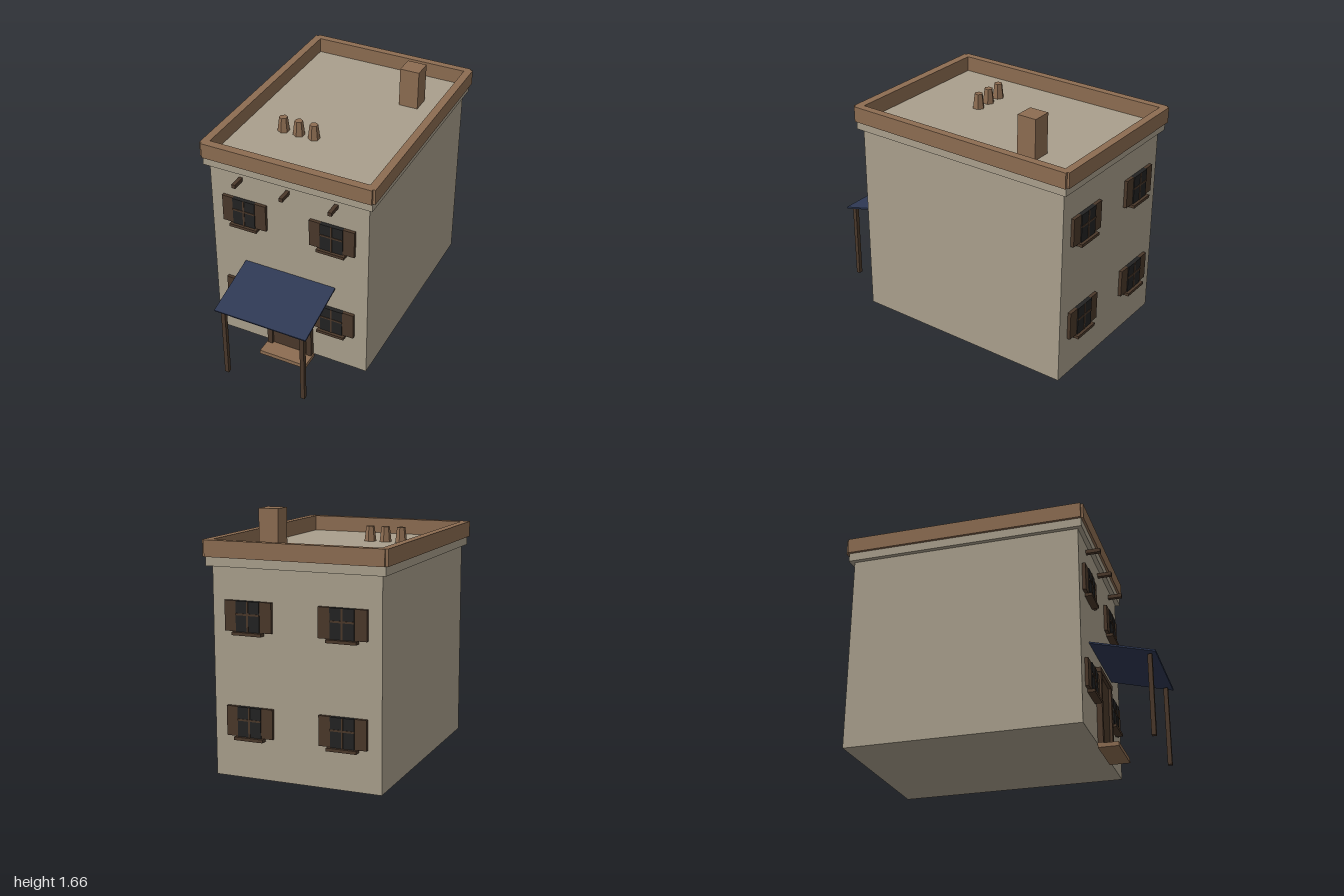
import * as THREE from 'three';

const mat = (name, color) => {
  const m = new THREE.MeshStandardMaterial({ color });
  m.name = name;
  return m;
};

export function createModel() {
  const house = new THREE.Group();
  house.name = 'house';
  const plaster = mat('plaster', 0xa99f8c);
  const clay = mat('clay brown', 0x8c6c51);
  const wood = mat('dark wood', 0x4a382a);
  const glass = mat('dark glass', 0x222222);
  const cloth = mat('navy awning', 0x2e3853);

  // box given by its extents on each axis
  const box = (parent, name, m, [x0, x1], [y0, y1], [z0, z1]) => {
    const mesh = new THREE.Mesh(new THREE.BoxGeometry(x1 - x0, y1 - y0, z1 - z0), m);
    mesh.position.set((x0 + x1) / 2, (y0 + y1) / 2, (z0 + z1) / 2);
    mesh.name = name;
    parent.add(mesh);
    return mesh;
  };

  // body and cornice, whose top is the flat roof
  const front = 0.585, back = -0.95;
  box(house, 'walls', plaster, [-0.55, 0.55], [0.025, 1.34], [back, front]);
  box(house, 'cornice', plaster, [-0.58, 0.58], [1.34, 1.397], [-0.98, 0.615]);

  // parapet with notched corners
  const py = [1.397, 1.5];
  box(house, 'parapetFront', clay, [-0.58, 0.58], py, [0.575, 0.63]);
  box(house, 'parapetBack', clay, [-0.58, 0.58], py, [-1, -0.95]);
  box(house, 'parapetLeft', clay, [0.545, 0.597], py, [-0.985, 0.615]);
  box(house, 'parapetRight', clay, [-0.597, -0.545], py, [-0.985, 0.615]);

  // chimney and roof pots
  box(house, 'chimney', clay, [0.26, 0.392], [1.397, 1.665], [-0.637, -0.507]);
  for (const x of [-0.275, -0.165, -0.057]) {
    const geo = new THREE.CylinderGeometry(0.028, 0.04, 0.1, 6).toNonIndexed();
    geo.computeVertexNormals();
    const pot = new THREE.Mesh(geo, clay);
    pot.position.set(x, 1.447, 0.117);
    pot.name = 'roofPot';
    house.add(pot);
  }

  // projecting roof beams
  for (const x of [-0.33, 0, 0.33])
    box(house, 'roofBeam', wood, [x - 0.013, x + 0.013], [1.272, 1.298], [0.57, 0.68]);

  // shuttered window; local z = 0 is the wall face
  const makeWindow = (x, y, z, turn) => {
    const w = new THREE.Group();
    w.name = 'window';
    box(w, 'pane', glass, [-0.078, 0.078], [0, 0.188], [-0.01, 0.028]);
    box(w, 'mullion', wood, [-0.006, 0.006], [0, 0.188], [0.026, 0.031]);
    box(w, 'crossbar', wood, [-0.078, 0.078], [0.101, 0.113], [0.026, 0.031]);
    box(w, 'shutter', wood, [-0.155, -0.078], [0, 0.188], [-0.01, 0.022]);
    box(w, 'shutter', wood, [0.078, 0.155], [0, 0.188], [-0.01, 0.022]);
    box(w, 'sill', wood, [-0.097, 0.097], [-0.02, 0], [-0.01, 0.047]);
    w.position.set(x, y, z);
    w.rotation.y = turn;
    house.add(w);
  };
  for (const x of [-0.307, 0.307])
    for (const y of [0.293, 0.95]) {
      makeWindow(x, y, front, 0);
      makeWindow(x, y, back, Math.PI);
    }

  // door, frame and step
  box(house, 'door', wood, [-0.128, 0.128], [0.028, 0.507], [0.57, 0.602]);
  for (const s of [-1, 1])
    box(house, 'doorJamb', wood, [s * 0.145 - 0.018, s * 0.145 + 0.018], [0.028, 0.507], [0.57, 0.62]);
  box(house, 'doorLintel', wood, [-0.168, 0.168], [0.507, 0.54], [0.57, 0.622]);
  box(house, 'doorStep', clay, [-0.17, 0.17], [0, 0.028], [0.585, 0.718]);

  // sloping awning on two posts
  const rise = 0.11, run = 0.414;
  const awning = new THREE.Mesh(new THREE.BoxGeometry(0.648, 0.011, Math.hypot(rise, run)), cloth);
  awning.position.set(0, 0.589, 0.792);
  awning.rotation.x = Math.atan2(rise, run);
  awning.name = 'awning';
  house.add(awning);
  for (const x of [-0.28, 0.28])
    box(house, 'awningPost', wood, [x - 0.014, x + 0.014], [0, 0.53], [0.942, 0.97]);

  return house;
}
